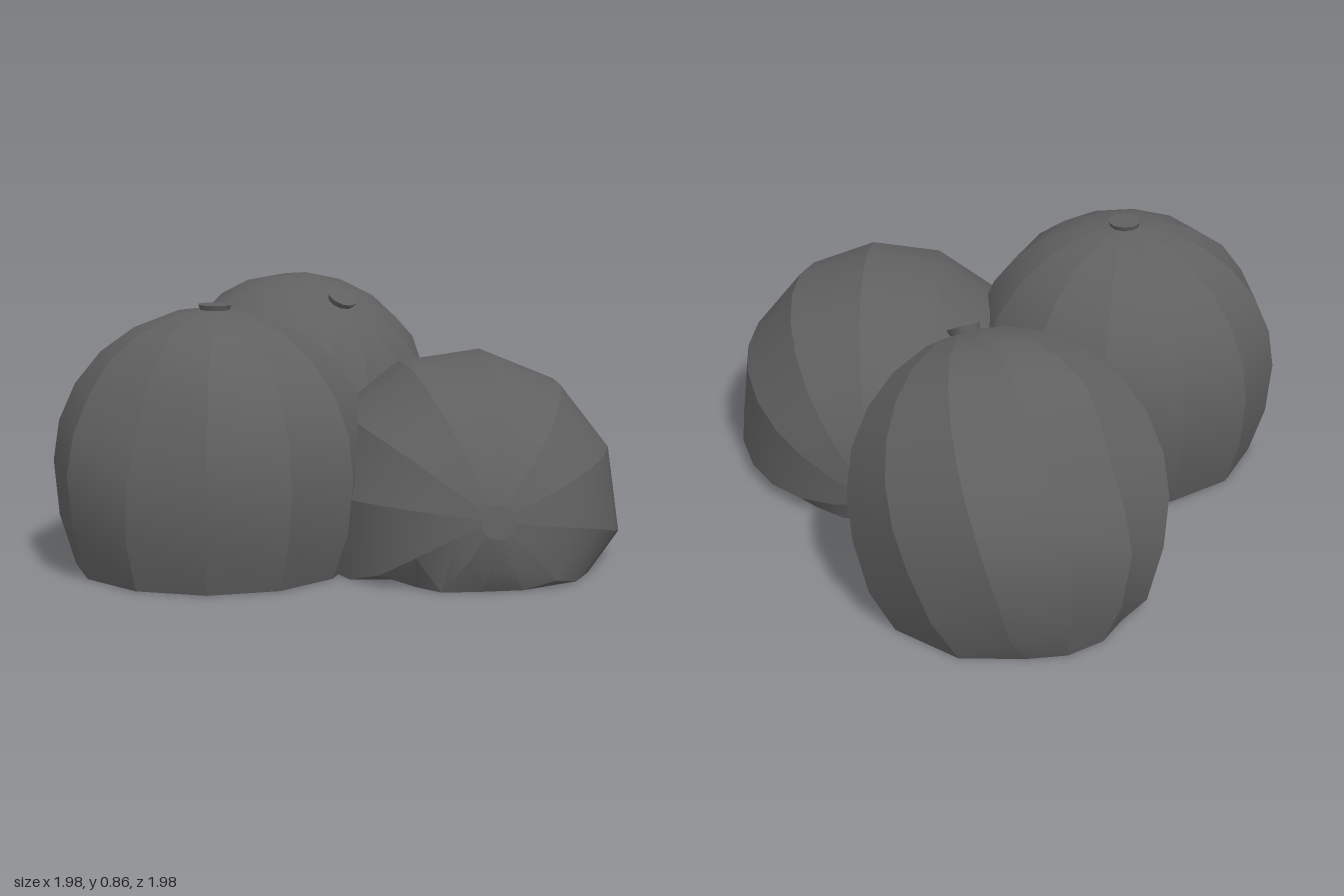
import * as THREE from 'three';
import { mergeGeometries, toCreasedNormals } from 'three/addons/utils/BufferGeometryUtils.js';

const material = new THREE.MeshStandardMaterial({ color: 0x606060, side: THREE.DoubleSide });
const UP = new THREE.Vector3(0, 1, 0);
const SIDES = 12;
const RINGS = 12;

// Unit half circle, bottom to top
const PROFILE = Array.from({ length: RINGS + 1 }, (_, i) => {
  const a = (i / RINGS - 0.5) * Math.PI;
  return new THREE.Vector2(Math.max(0, Math.cos(a)), Math.sin(a));
});

// Sag the lower half onto the floor, hollow the underside and press in the dent
function settle(p, center, dent) {
  if (p.y < center.y) p.y = center.y + (p.y - center.y) * 1.4;
  if (p.y < 0) {
    const d = Math.hypot(p.x - center.x, p.z - center.z);
    p.y = Math.max(0, 0.07 * (1 - d / 0.42));
  }
  if (dent) {
    const near = Math.max(0, 1 - p.distanceTo(dent.at) / 0.3);
    const inward = center.clone().sub(p).normalize();
    p.addScaledVector(inward, dent.depth * near);
  }
}

// Body made of wedges: smooth from pole to pole, faceted around the axis
function body(center, quaternion, radius, length, dent) {
  const wedges = [];
  const step = (Math.PI * 2) / SIDES;
  const p = new THREE.Vector3();
  for (let s = 0; s < SIDES; s++) {
    const geo = new THREE.LatheGeometry(PROFILE, 1, s * step, step);
    geo.scale(radius, length, radius);
    geo.applyQuaternion(quaternion);
    geo.translate(center.x, center.y, center.z);
    const pos = geo.attributes.position;
    for (let i = 0; i < pos.count; i++) {
      p.fromBufferAttribute(pos, i);
      settle(p, center, dent);
      pos.setXYZ(i, p.x, p.y, p.z);
    }
    wedges.push(toCreasedNormals(geo, 0.6));
  }
  return new THREE.Mesh(mergeGeometries(wedges), material);
}

// Short stem that flares towards its cut end
function stem(center, quaternion, length, rise) {
  const geo = new THREE.CylinderGeometry(0.056, 0.03, 0.07, 10);
  geo.translate(0, length + rise - 0.035, 0);
  geo.applyQuaternion(quaternion);
  geo.translate(center.x, center.y, center.z);
  return new THREE.Mesh(toCreasedNormals(geo, 0.7), material);
}

function fruit({ name, at, axis, radius, length, rise, dent }) {
  const group = new THREE.Group();
  group.name = name;
  const center = new THREE.Vector3(...at);
  const q = new THREE.Quaternion().setFromUnitVectors(UP, new THREE.Vector3(...axis).normalize());
  const skin = body(center, q, radius, length, dent);
  skin.name = name + 'Body';
  const top = stem(center, q, length, rise);
  top.name = name + 'Stem';
  group.add(skin, top);
  return group;
}

export function createModel() {
  const model = new THREE.Group();
  model.name = 'fruitPile';
  model.add(
    // Upright fruit in front
    fruit({
      name: 'frontFruit', at: [-0.21, 0.34, 0.47], axis: [0.01, 1, -0.01],
      radius: 0.525, length: 0.51, rise: 0.01,
      dent: { at: new THREE.Vector3(-0.2, 0.53, 0.95), depth: 0.06 },
    }),
    // Fruit behind, leaning towards the middle
    fruit({
      name: 'backFruit', at: [-0.475, 0.335, -0.485], axis: [0.265, 0.46, 0.1],
      radius: 0.522, length: 0.53, rise: 0.015,
      dent: { at: new THREE.Vector3(-0.9, 0.6, -0.55), depth: 0.09 },
    }),
    // Fruit lying on its side, stem pointing outwards
    fruit({
      name: 'lyingFruit', at: [0.435, 0.17, -0.05], axis: [0.61, 0.11, 0.79],
      radius: 0.525, length: 0.59, rise: 0.03,
    }),
  );
  return model;
}
